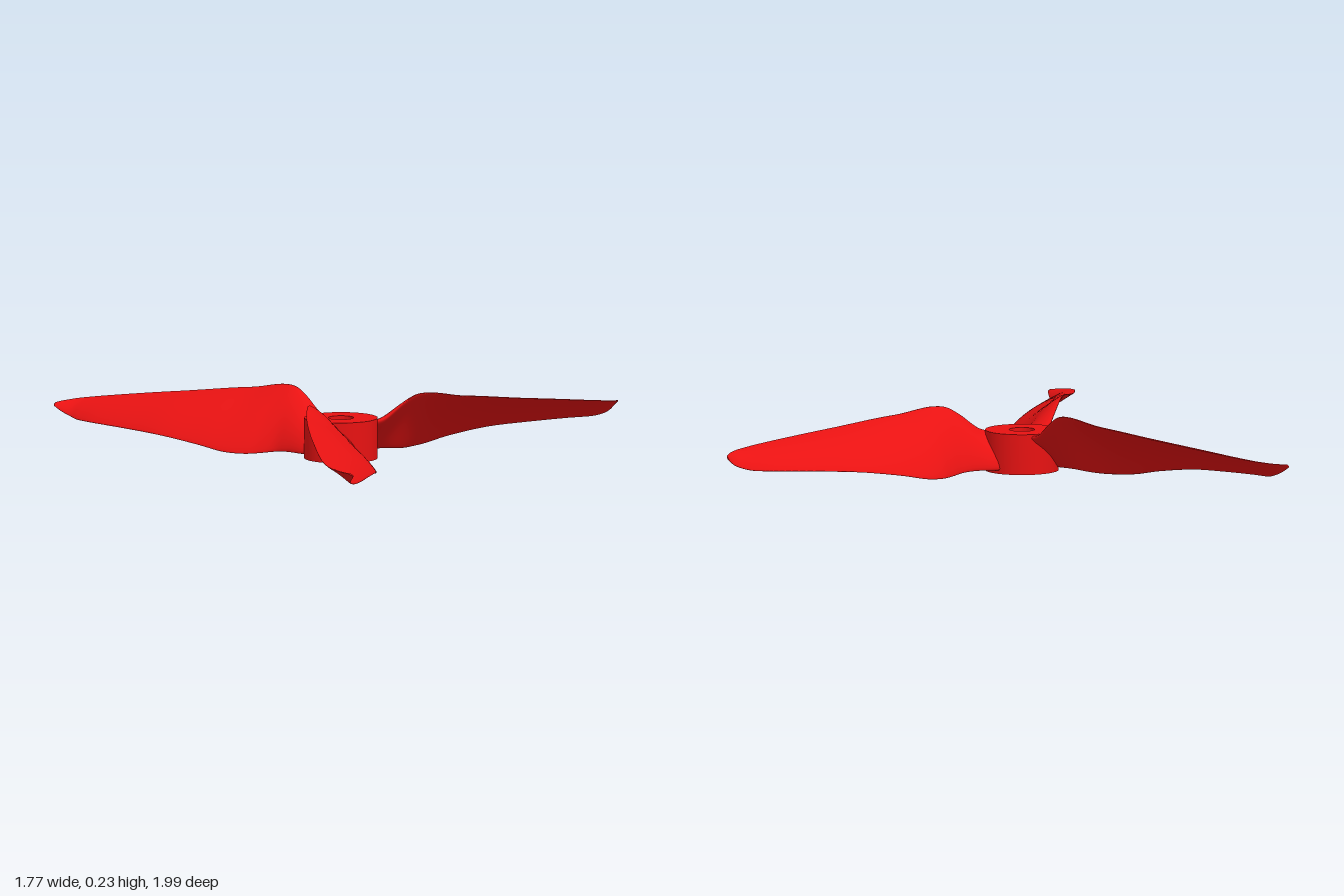
import * as THREE from 'three';
import { toCreasedNormals } from 'three/addons/utils/BufferGeometryUtils.js';

const HUB_X = -0.265, HUB_Z = -0.025;

// Blade stations: x, trailing edge z and y, leading edge z and y, half thickness
const STATIONS = [
  [-0.18, -0.09, 0.02, 0.05, 0.138, 0.022],
  [-0.13, -0.088, 0.02, 0.057, 0.15, 0.02],
  [-0.07, -0.078, 0.02, 0.072, 0.198, 0.016],
  [-0.02, -0.078, 0.016, 0.082, 0.228, 0.013],
  [0.03, -0.102, 0.01, 0.089, 0.233, 0.011],
  [0.08, -0.13, 0.008, 0.092, 0.227, 0.01],
  [0.15, -0.15, 0.013, 0.092, 0.214, 0.01],
  [0.25, -0.157, 0.032, 0.088, 0.203, 0.009],
  [0.4, -0.153, 0.052, 0.075, 0.184, 0.008],
  [0.55, -0.132, 0.061, 0.058, 0.167, 0.007],
  [0.7, -0.108, 0.067, 0.037, 0.149, 0.006],
  [0.78, -0.087, 0.07, 0.018, 0.139, 0.006],
  [0.82, -0.072, 0.078, 0.002, 0.134, 0.005],
  [0.85, -0.072, 0.09, -0.02, 0.129, 0.005],
  [0.87, -0.079, 0.104, -0.045, 0.125, 0.004],
  [0.88, -0.083, 0.113, -0.065, 0.122, 0.003],
];

const edge = (zi, yi) => new THREE.CatmullRomCurve3(
  STATIONS.map(s => new THREE.Vector3(s[0] - HUB_X, s[yi], s[zi] - HUB_Z)), false, 'catmullrom', 0.5);

// Twisted, cambered blade lofted between its two edge curves
function bladeGeometry(rings = 90, sides = 32) {
  const trailing = edge(1, 2), leading = edge(3, 4);
  const pos = [], index = [];
  for (let i = 0; i <= rings; i++) {
    const t = i / rings;
    const a = trailing.getPoint(t), b = leading.getPoint(t);
    const chord = b.clone().sub(a);
    const length = chord.length();
    const up = new THREE.Vector3(0, chord.z, -chord.y).normalize();
    const f = t * (STATIONS.length - 1), k = Math.min(Math.floor(f), STATIONS.length - 2);
    const half = THREE.MathUtils.lerp(STATIONS[k][5], STATIONS[k + 1][5], f - k);
    for (let j = 0; j < sides; j++) {
      const ang = (j / sides) * Math.PI * 2;
      const u = (1 - Math.cos(ang)) / 2;
      const lift = 0.06 * length * 4 * u * (1 - u) + half * Math.sin(ang);
      const p = a.clone().addScaledVector(chord, u).addScaledVector(up, lift);
      pos.push(p.x, p.y, p.z);
    }
  }
  for (let i = 0; i < rings; i++) {
    for (let j = 0; j < sides; j++) {
      const n = (j + 1) % sides;
      const p = i * sides + j, q = i * sides + n;
      index.push(p, q, p + sides, q, q + sides, p + sides);
    }
  }
  // tip cap
  const last = rings * sides, tip = trailing.getPoint(1).lerp(leading.getPoint(1), 0.5);
  pos.push(tip.x + 0.002, tip.y, tip.z);
  for (let j = 0; j < sides; j++) index.push(last + sides, last + j, last + (j + 1) % sides);

  const g = new THREE.BufferGeometry();
  g.setAttribute('position', new THREE.Float32BufferAttribute(pos, 3));
  g.setIndex(index);
  g.computeVertexNormals();
  return g;
}

export function createModel() {
  const group = new THREE.Group();
  group.name = 'propeller';
  const red = new THREE.MeshStandardMaterial({ color: 0xe81212 });

  // Hub: ring with a bore for the shaft
  const profile = [[0.045, 0.006], [0.13, 0.006], [0.13, 0.15], [0.045, 0.15], [0.045, 0.006]]
    .map(p => new THREE.Vector2(...p));
  const hub = new THREE.Mesh(toCreasedNormals(new THREE.LatheGeometry(profile, 64), 0.6), red);
  hub.name = 'hub';
  group.add(hub);

  // Three equal blades
  const geometry = bladeGeometry();
  for (let i = 0; i < 3; i++) {
    const blade = new THREE.Mesh(geometry, red);
    blade.name = `blade${i + 1}`;
    blade.rotation.y = (i * Math.PI * 2) / 3;
    group.add(blade);
  }
  group.position.set(HUB_X, 0, HUB_Z);

  const model = new THREE.Group();
  model.add(group);
  return model;
}
